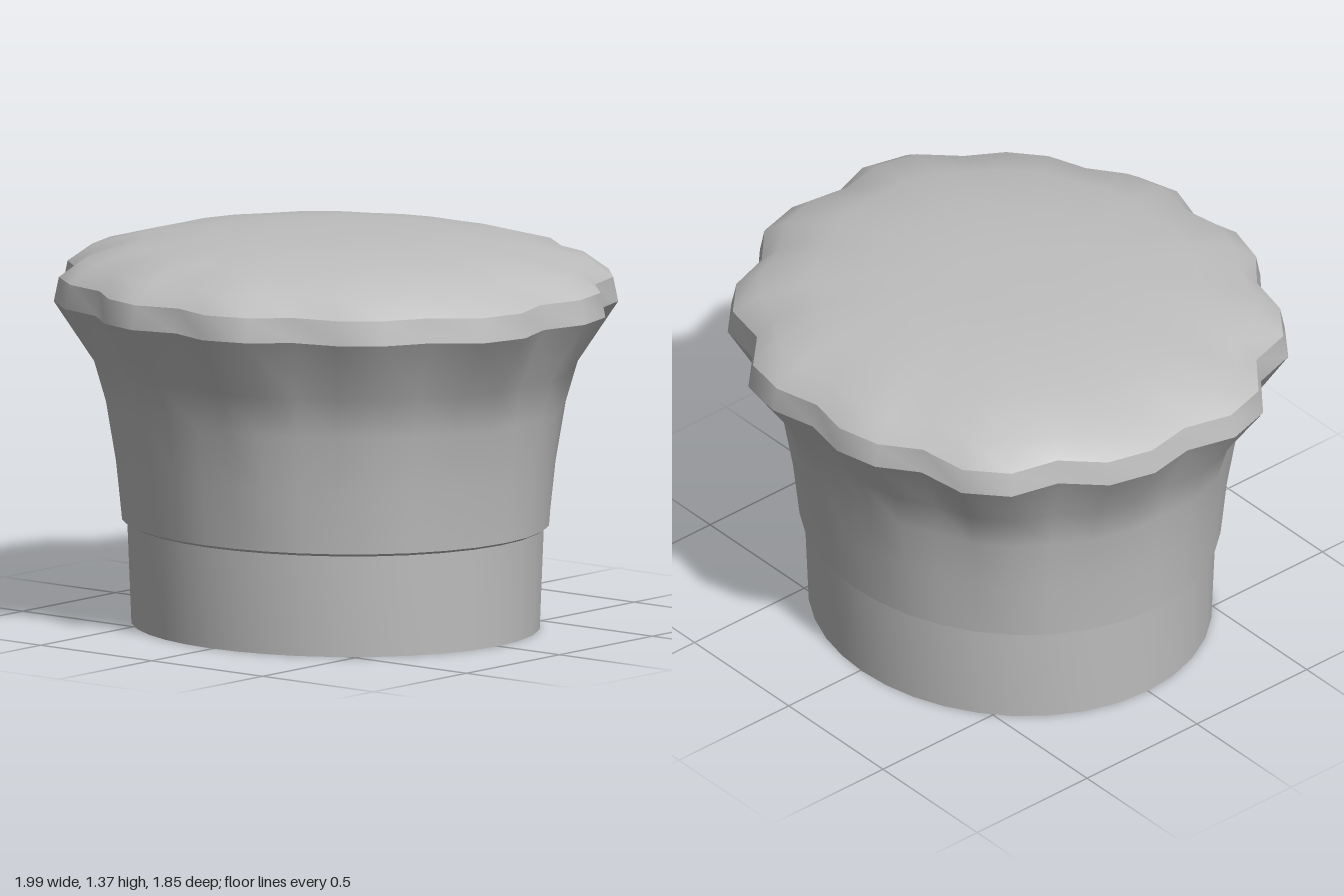
import * as THREE from 'three';

// Radius of the scalloped rim every 10 degrees, from the back round by the left side
const RIM = [
  0.89, 0.945, 0.96, 0.90, 0.97, 0.97, 0.92, 0.985, 0.985,
  0.93, 1.007, 1.01, 0.93, 0.95, 0.935, 0.88, 0.93, 0.935,
  0.87, 0.93, 0.93, 0.89, 0.955, 0.98, 0.925, 1.01, 1.013,
  0.95, 0.995, 0.995, 0.935, 1.0, 0.99, 0.905, 0.94, 0.935,
];
const N = RIM.length;
const RX = 0.985, RZ = 0.905; // oval that the scallops fade into

// Smooth loft through rings of [y, scale, scallop amount 0..1]
function loft(rings) {
  const pos = [], index = [];
  rings.forEach(([y, scale, scallop], i) => {
    for (let j = 0; j < N; j++) {
      const a = (j / N) * Math.PI * 2;
      const oval = 1 / Math.hypot(Math.sin(a) / RX, Math.cos(a) / RZ);
      const r = scale * THREE.MathUtils.lerp(oval, RIM[j], scallop);
      const shift = -0.008 * (1 - scallop);
      pos.push(r * Math.sin(a) + shift, y, -r * Math.cos(a));
      if (i === rings.length - 1) continue;
      const k = (j + 1) % N;
      const p = i * N + j, q = i * N + k;
      index.push(p, p + N, q + N, p, q + N, q);
    }
  });
  const geo = new THREE.BufferGeometry();
  geo.setAttribute('position', new THREE.Float32BufferAttribute(pos, 3));
  geo.setIndex(index);
  geo.computeVertexNormals();
  return geo;
}

export function createModel() {
  const group = new THREE.Group();
  group.name = 'scallopedKnob';
  const grey = new THREE.MeshStandardMaterial({ color: 0xbfbfbf, side: THREE.DoubleSide });
  grey.name = 'grey';

  // Separate lofts keep the edges between the parts sharp
  const parts = {
    collar: [[0, 0.743, 0], [0.355, 0.758, 0]],
    ledge: [[0.355, 0.758, 0], [0.365, 0.777, 0]],
    flaredBody: [
      [0.365, 0.777, 0], [0.57, 0.797, 0.12], [0.78, 0.83, 0.3],
      [0.92, 0.868, 0.5], [1.13, 1, 1],
    ],
    rimBand: [[1.13, 1, 1], [1.215, 0.982, 1]],
    domedCap: [
      [1.215, 0.982, 1], [1.28, 0.9, 0.7], [1.33, 0.715, 0.35],
      [1.362, 0.45, 0.1], [1.367, 0.2, 0], [1.368, 0.002, 0],
    ],
  };
  for (const [name, rings] of Object.entries(parts)) {
    const mesh = new THREE.Mesh(loft(rings), grey);
    mesh.name = name;
    group.add(mesh);
  }
  return group;
}
